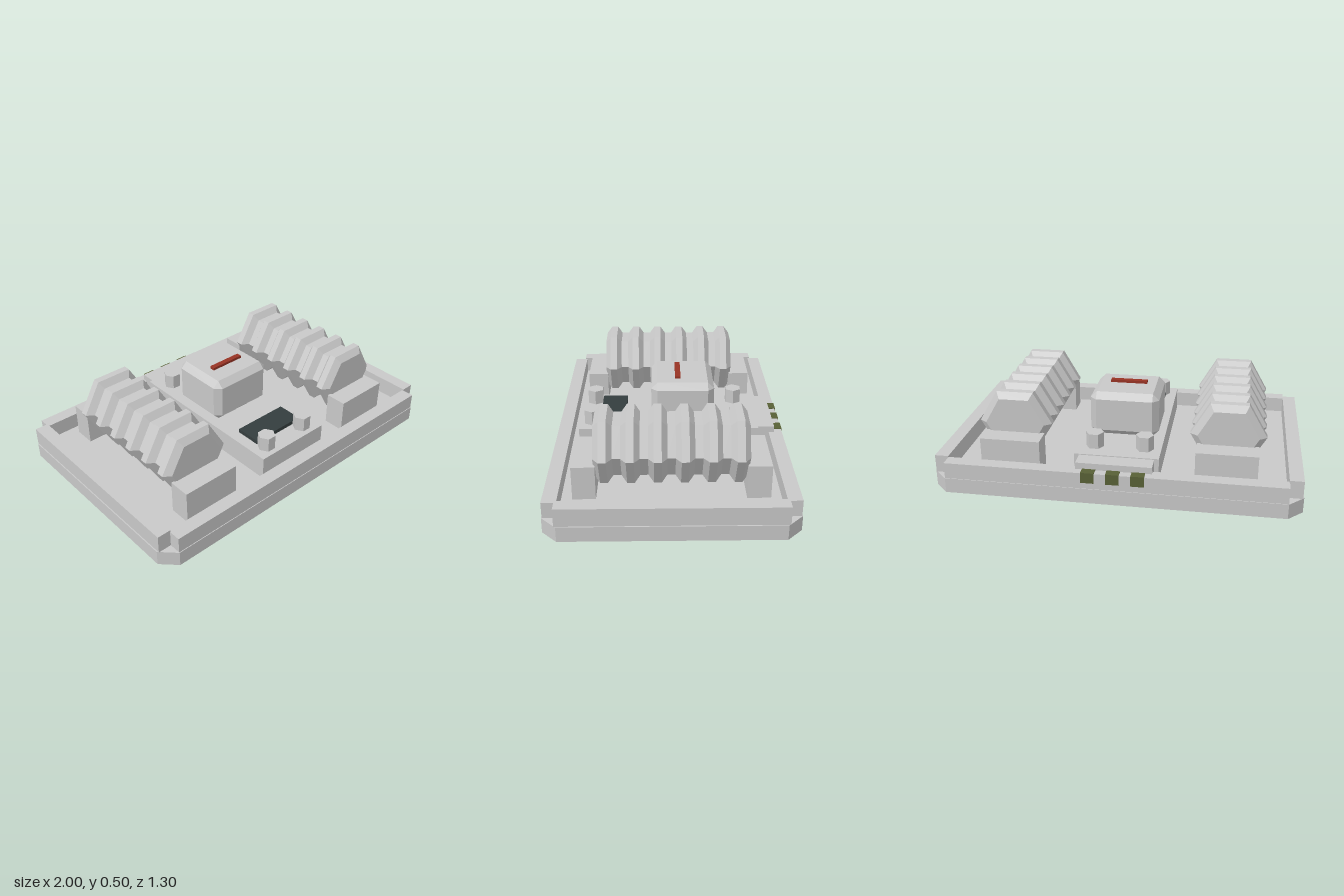
import * as THREE from 'three';
import { ConvexGeometry } from 'three/addons/geometries/ConvexGeometry.js';

const mat = (name, color) => {
  const m = new THREE.MeshStandardMaterial({ color });
  m.name = name;
  return m;
};

export function createModel() {
  const grey = mat('light grey', 0xc8c8c8);
  const dark = mat('dark slate', 0x343d3e);
  const red = mat('red', 0x983324);
  const olive = mat('olive green', 0x586036);

  const model = new THREE.Group();
  model.name = 'generatorPlatform';

  const add = (name, geometry, material, x = 0, y = 0, z = 0) => {
    const mesh = new THREE.Mesh(geometry, material);
    mesh.name = name;
    mesh.position.set(x, y, z);
    model.add(mesh);
    return mesh;
  };
  // Box given by its limits on each axis
  const box = (name, material, x0, x1, y0, y1, z0, z1) =>
    add(name, new THREE.BoxGeometry(x1 - x0, y1 - y0, z1 - z0), material,
      (x0 + x1) / 2, (y0 + y1) / 2, (z0 + z1) / 2);
  const faceted = (geometry) => {
    const g = geometry.toNonIndexed();
    g.computeVertexNormals();
    return g;
  };

  // Base slab with cut corners
  const X = 1, Z = 0.65, C = 0.08, FLOOR = 0.085;
  const outline = [[X, Z - C], [X - C, Z], [C - X, Z], [-X, Z - C],
    [-X, C - Z], [C - X, -Z], [X - C, -Z], [X, C - Z]];
  const slab = new THREE.ExtrudeGeometry(
    new THREE.Shape(outline.map(([x, z]) => new THREE.Vector2(x, z))),
    { depth: FLOOR, bevelEnabled: false });
  slab.rotateX(-Math.PI / 2);
  add('baseSlab', slab, grey);

  // Rim walls
  box('frontWall', grey, -0.92, 0.92, FLOOR, 0.175, 0.57, 0.646);
  box('backWall', grey, -0.92, 0.92, FLOOR, 0.175, -0.646, -0.57);
  box('leftWall', grey, 0.918, 0.994, FLOOR, 0.185, -0.58, 0.58);
  box('rightWall', grey, -0.994, -0.918, FLOOR, 0.185, -0.58, 0.58);

  // Central deck with a narrower tail at the back
  box('deck', grey, -0.233, 0.23, FLOOR, 0.217, -0.505, 0.52);
  box('deckTail', grey, -0.208, 0.203, FLOOR, 0.212, -0.6, -0.5);

  // Hexagonal pegs, points towards the sides
  for (const x of [-0.142, 0.135]) {
    for (const z of [-0.388, 0.447]) {
      const peg = faceted(new THREE.CylinderGeometry(0.05, 0.05, 0.09, 6, 1, false, Math.PI / 2));
      add('peg', peg, grey, x, 0.256, z);
    }
  }

  // Control panel
  box('panel', dark, -0.168, 0.163, 0.205, 0.24, 0.253, 0.4);

  // Core: a box with every edge chamfered
  const hx = 0.195, hy = 0.128, hz = 0.179, c = 0.036;
  const corners = [];
  for (const sx of [-1, 1]) for (const sy of [-1, 1]) for (const sz of [-1, 1]) {
    corners.push(
      new THREE.Vector3(sx * hx, sy * (hy - c), sz * (hz - c)),
      new THREE.Vector3(sx * (hx - c), sy * hy, sz * (hz - c)),
      new THREE.Vector3(sx * (hx - c), sy * (hy - c), sz * hz));
  }
  add('core', new ConvexGeometry(corners), grey, -0.003, 0.343, -0.073);
  box('coreLight', red, -0.108, 0.102, 0.465, 0.486, -0.062, -0.031);

  // Ridged hexagonal coils, six ridges along z
  const profile = [[0, -0.4]];
  for (let i = 0; i < 6; i++) {
    const z = -0.35 + i * 0.14;
    profile.push([0.165, z - 0.049], [0.206, z - 0.02], [0.206, z + 0.02], [0.165, z + 0.049]);
  }
  profile[1][1] = -0.4;
  profile[profile.length - 1][1] = 0.4;
  profile.push([0, 0.4]);
  const coil = faceted(new THREE.LatheGeometry(
    profile.map(([r, z]) => new THREE.Vector2(r, z)), 6, Math.PI / 2));
  coil.rotateX(Math.PI / 2);

  for (const [side, x] of [['left', 0.587], ['right', -0.592]]) {
    add(side + 'Coil', coil, grey, x, 0.321, 0);
    // Support blocks at both ends
    box(side + 'FrontBlock', grey, x - 0.166, x + 0.166, FLOOR, 0.273, 0.39, 0.512);
    box(side + 'BackBlock', grey, x - 0.166, x + 0.166, FLOOR, 0.273, -0.514, -0.39);
  }

  // Rear sockets set into the back wall
  for (const x of [-0.137, -0.003, 0.13]) {
    box('rearSocket', olive, x - 0.036, x + 0.036, 0.12, 0.179, -0.65, -0.594);
  }

  return model;
}
